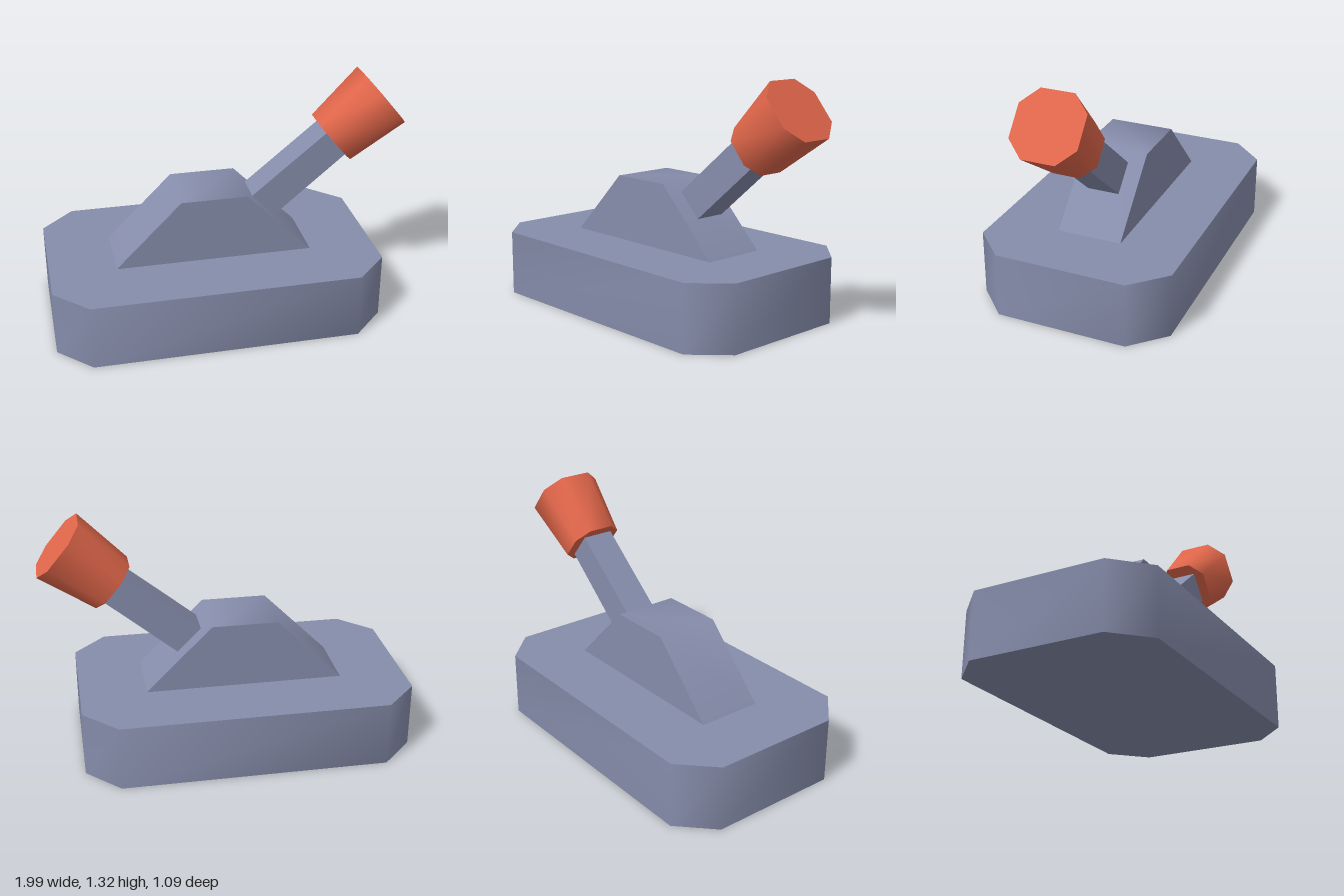
import * as THREE from 'three';
import { toCreasedNormals } from 'three/addons/utils/BufferGeometryUtils.js';

// Closed solid between two rings, counter-clockwise seen from the second ring
function loft(a, b) {
  const pos = [];
  const tri = (...points) => points.forEach((p) => pos.push(...p));
  const n = a.length;
  for (let i = 0; i < n; i++) {
    const j = (i + 1) % n;
    tri(a[i], a[j], b[j]);
    tri(a[i], b[j], b[i]);
  }
  for (let i = 1; i < n - 1; i++) {
    tri(b[0], b[i], b[i + 1]);
    tri(a[0], a[i + 1], a[i]);
  }
  const geometry = new THREE.BufferGeometry();
  geometry.setAttribute('position', new THREE.Float32BufferAttribute(pos, 3));
  return toCreasedNormals(geometry, 0.95);
}

// Rectangle with cut corners lying at height y
function cutRing(w, d, cut, y) {
  return [
    [w, -d + cut], [w, d - cut], [w - cut, d], [-w + cut, d],
    [-w, d - cut], [-w, -d + cut], [-w + cut, -d], [w - cut, -d],
  ].map(([x, q]) => [x, y, -q]);
}

// Side outline pulled symmetrically along z
function slab(outline, halfDepth) {
  const at = (z) => outline.map(([x, y]) => [x, y, z]);
  return loft(at(-halfDepth), at(halfDepth));
}

export function createModel() {
  const group = new THREE.Group();
  const grey = new THREE.MeshStandardMaterial({ name: 'blueGrey', color: 0x868dab });
  const orange = new THREE.MeshStandardMaterial({ name: 'orange', color: 0xe0664a });

  const add = (name, geometry, material) => {
    const mesh = new THREE.Mesh(geometry, material);
    mesh.name = name;
    group.add(mesh);
    return mesh;
  };

  // Base block with cut corners
  const base = add('base', loft(cutRing(0.907, 0.544, 0.18, 0), cutRing(0.907, 0.544, 0.18, 0.364)), grey);
  base.position.x = -0.093;

  // Sloped housing on the base
  add('housing', slab([[-0.638, 0.364], [0.45, 0.364], [0.088, 0.728], [-0.275, 0.728]], 0.181), grey);

  // Lever rising from the right slope
  add('lever', slab([[0.136, 0.682], [0.265, 0.551], [0.662, 0.885], [0.548, 1.02]], 0.09), grey);

  // Flared knob on the lever's end
  const knob = add('knob', loft(cutRing(0.146, 0.146, 0.073, 0), cutRing(0.18, 0.18, 0.09, 0.36)), orange);
  knob.position.set(0.603, 0.953, 0);
  knob.rotation.z = -THREE.MathUtils.degToRad(50.3);

  return group;
}
